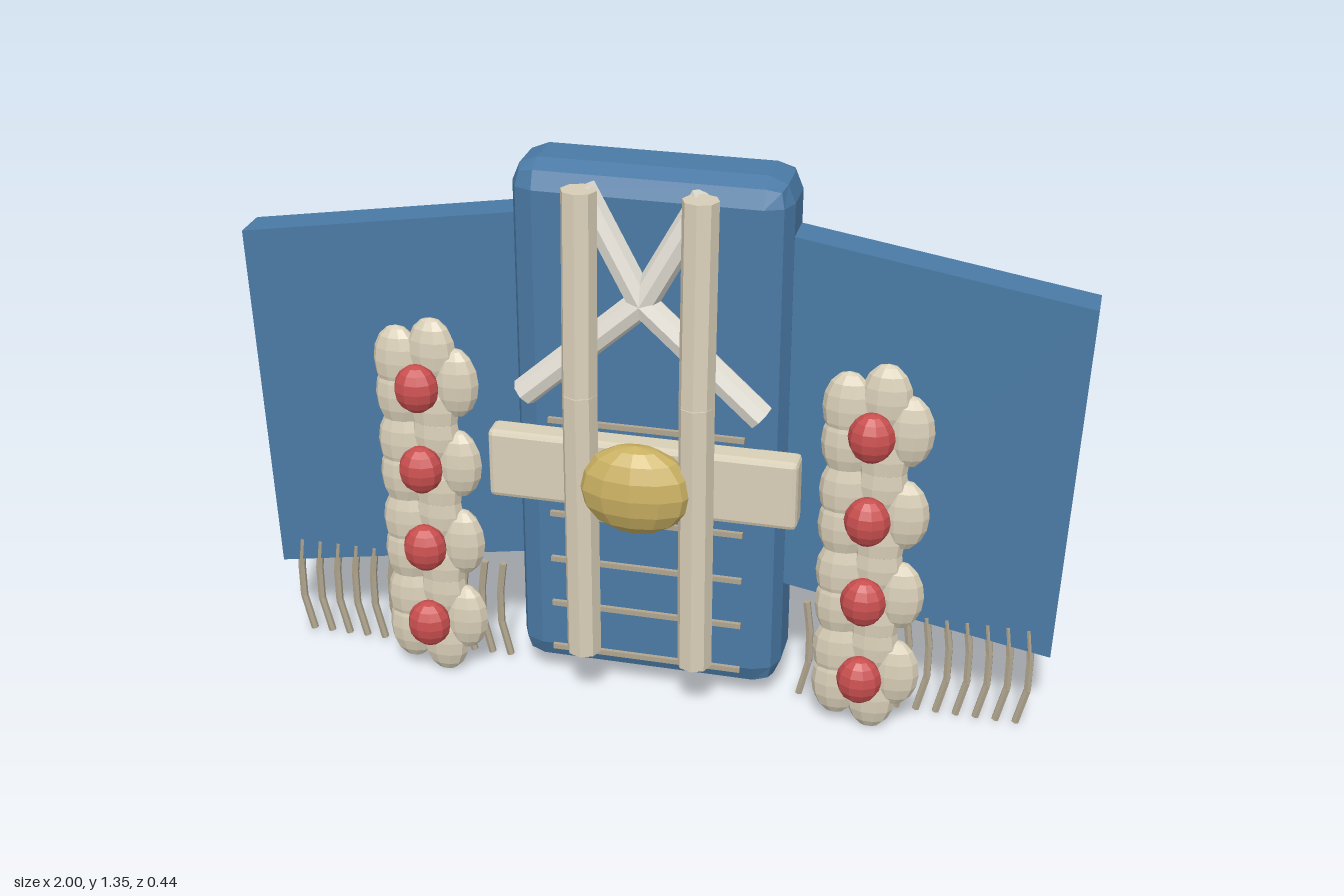
import * as THREE from 'three';
import { RoundedBoxGeometry } from 'three/addons/geometries/RoundedBoxGeometry.js';

const mat = (color) => new THREE.MeshStandardMaterial({ color, flatShading: true });
const blue = mat(0x4a7aa5), cream = mat(0xd9cfb8), pale = mat(0xe2ded4);
const red = mat(0xc94f4f), gold = mat(0xc9b062), thread = mat(0xb0a58f);

function add(parent, name, geometry, material, x = 0, y = 0, z = 0) {
  const mesh = new THREE.Mesh(geometry, material);
  mesh.name = name;
  mesh.position.set(x, y, z);
  parent.add(mesh);
  return mesh;
}

function ellipsoid(rx, ry, rz, w = 10, h = 8) {
  return new THREE.SphereGeometry(1, w, h).scale(rx, ry, rz);
}

// Straight cylinder between two points
function rod(parent, name, a, b, radius, sides, material) {
  const from = new THREE.Vector3(...a), to = new THREE.Vector3(...b);
  const dir = to.clone().sub(from);
  const mesh = add(parent, name, new THREE.CylinderGeometry(radius, radius, dir.length(), sides), material);
  mesh.position.copy(from).add(to).multiplyScalar(0.5);
  mesh.quaternion.setFromUnitVectors(new THREE.Vector3(0, 1, 0), dir.normalize());
}

// Chain of rods through a few points
function bentRod(parent, name, points, radius, sides, material) {
  const group = new THREE.Group();
  group.name = name;
  for (let i = 1; i < points.length; i++) {
    rod(group, name + 'Segment', points[i - 1], points[i], radius, sides, material);
  }
  parent.add(group);
}

// Ring of oval petals around a red centre
function flower(parent, name, [x, y, z], count, ring, petal, heart, heartZ) {
  const group = new THREE.Group();
  group.name = name;
  group.position.set(x, y, z);
  for (let i = 0; i < count; i++) {
    const a = (i / count) * Math.PI * 2;
    add(group, 'petal', ellipsoid(...petal), cream, Math.cos(a) * ring, Math.sin(a) * ring, 0);
  }
  add(group, 'flowerCentre', ellipsoid(...heart), red, 0, 0, heartZ);
  parent.add(group);
}

export function createModel() {
  const model = new THREE.Group();
  model.name = 'robe';

  // Torso
  add(model, 'body', new RoundedBoxGeometry(0.65, 1.31, 0.218, 1, 0.06), blue, 0, 0.705, -0.054);

  for (const s of [-1, 1]) {
    // Flat sleeve panel
    const shape = new THREE.Shape([
      [0.3, 0.332], [0.97, 0.213], [1, 1.112], [0.3, 1.225],
    ].map(([x, y]) => new THREE.Vector2(s * x, y)));
    const sleeve = new THREE.ExtrudeGeometry(shape, { depth: 0.09, bevelEnabled: false });
    add(model, 'sleeve', sleeve, blue, 0, 0, -0.096);

    // Fringe below the sleeve
    for (let i = 0; i < 12; i++) {
      const x = 0.375 + i * 0.0483;
      bentRod(model, 'fringeStrand', [
        [s * (x + 0.008), 0.28, -0.013], [s * (x + 0.018), 0.2, -0.013],
        [s * (x + 0.018), 0.11, -0.013], [s * (x - 0.004), 0.015, -0.013],
      ], 0.0095, 6, thread);
    }

    // Column of flowers
    for (let i = 0; i < 4; i++) {
      flower(model, 'frontFlower', [s * 0.535, 0.168 + i * 0.2143, 0.073], 5, 0.076,
        [0.06, 0.09, 0.034], [0.054, 0.06, 0.045], 0.052);
    }

    // Long hanging cord
    bentRod(model, 'cord', [
      [s * 0.137, 0.155, 0.128], [s * 0.137, 0.85, 0.133], [s * 0.137, 1.335, 0.112],
    ], 0.042, 8, cream);

    // Crossed collar strap
    bentRod(model, 'collarStrap', [
      [s * 0.28, 0.82, 0.1], [0, 1.07, 0.09], [-s * 0.14, 1.325, 0.075],
    ], 0.034, 8, pale);
  }

  // Belt and oval buckle
  add(model, 'belt', new RoundedBoxGeometry(0.74, 0.175, 0.068, 1, 0.012), cream, 0, 0.628, 0.08);
  add(model, 'buckle', ellipsoid(0.137, 0.112, 0.07, 12, 8), gold, 0, 0.628, 0.153);

  // Thin stripes across the front
  for (let i = 0; i < 6; i++) {
    add(model, 'stripe', new THREE.BoxGeometry(0.47, 0.013, 0.016), thread, 0, 0.107 + i * 0.1255, 0.057);
  }

  // Large flower on the back
  flower(model, 'backFlower', [0.008, 0.95, -0.192], 7, 0.2,
    [0.066, 0.105, 0.03], [0.04, 0.05, 0.025], 0.016);

  return model;
}
